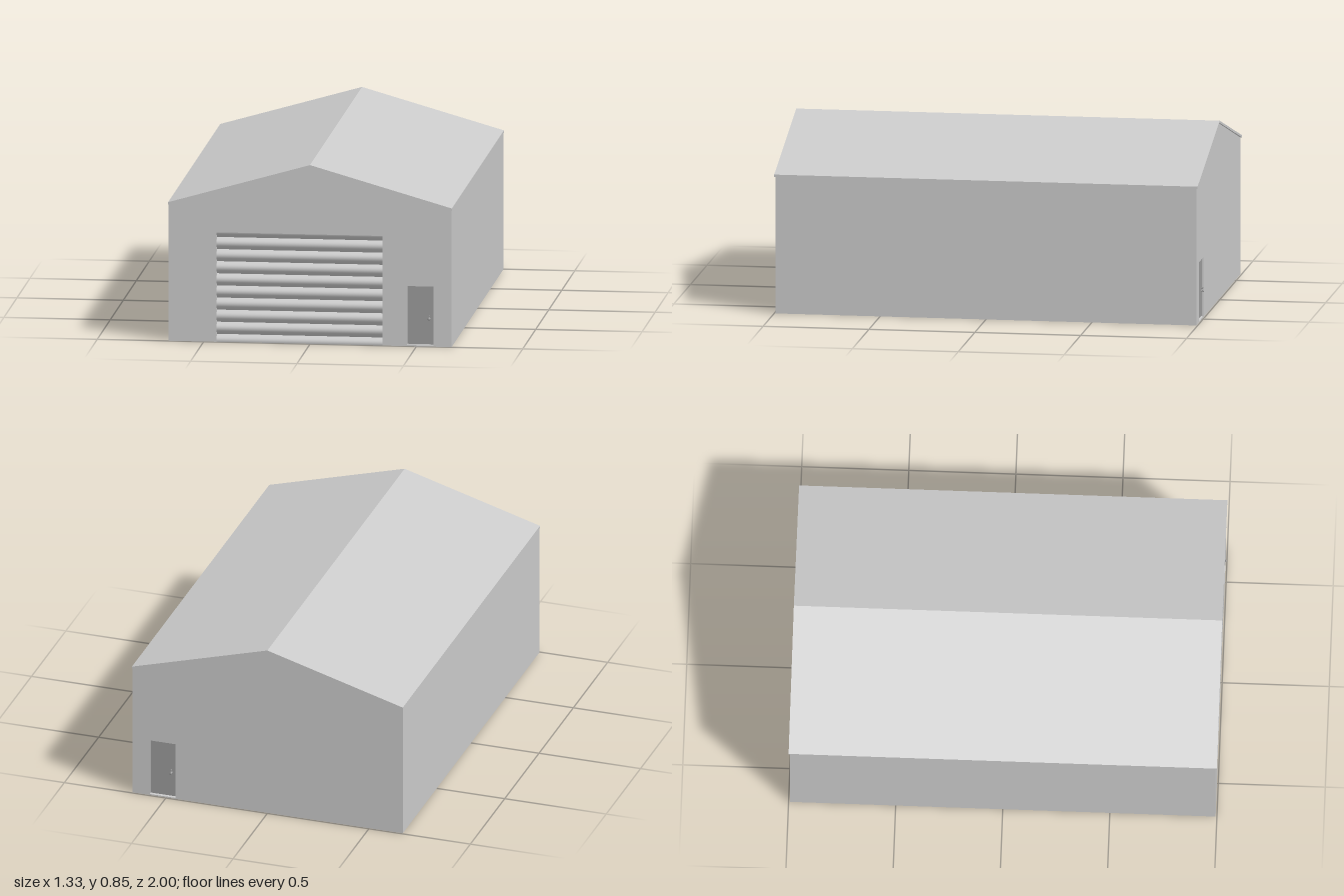
import * as THREE from 'three';

const HALF_W = 0.665, EAVE = 0.648, RIDGE = 0.839;
const WALL_Z = 0.994, SKIN = 0.02;
const DOOR = { x0: 0.455, x1: 0.581, y0: 0.005, y1: 0.285 };
const SHUTTER = { x0: -0.44, x1: 0.34, top: 0.52, pitch: 0.0575, joint: 0.035 };

const grey = new THREE.MeshStandardMaterial({ color: 0xcccccc });
const doorGrey = new THREE.MeshStandardMaterial({ color: 0x9c9c9c });
const shutterGrey = new THREE.MeshStandardMaterial({ color: 0xcccccc, side: THREE.DoubleSide });

function add(parent, name, geometry, material = grey) {
  const mesh = new THREE.Mesh(geometry, material);
  mesh.name = name;
  parent.add(mesh);
  return mesh;
}

function polygon(points) {
  return new THREE.Shape(points.map(([x, y]) => new THREE.Vector2(x, y)));
}

function extrude(shape, z0, z1) {
  const g = new THREE.ExtrudeGeometry(shape, { depth: z1 - z0, bevelEnabled: false });
  return g.translate(0, 0, z0);
}

// Gable outline, optionally notched at the floor for the shutter
function gable(notched) {
  const pts = [[-HALF_W, 0]];
  if (notched) {
    const { x0, x1, top } = SHUTTER;
    pts.push([x0, 0], [x0, top], [x1, top], [x1, 0]);
  }
  pts.push([HALF_W, 0], [HALF_W, EAVE], [0, RIDGE], [-HALF_W, EAVE]);
  return polygon(pts);
}

function withDoorway(shape) {
  const { x0, x1, y0, y1 } = DOOR;
  shape.holes.push(new THREE.Path([[x0, y0], [x0, y1], [x1, y1], [x1, y0]]
    .map(([x, y]) => new THREE.Vector2(x, y))));
  return shape;
}

// Personnel door, centred on x = 0 and facing +z with its face at z = 0
function makeDoor(name) {
  const door = new THREE.Group();
  door.name = name;
  const w = DOOR.x1 - DOOR.x0 - 0.004, h = DOOR.y1 - DOOR.y0 - 0.006;
  const cy = (DOOR.y0 + DOOR.y1) / 2 + 0.002;
  add(door, 'doorPanel', new THREE.BoxGeometry(w, h, 0.01).translate(0, cy, -0.005), doorGrey);
  // Turned knob with a small lock above it
  const profile = [[0.007, 0], [0.007, 0.002], [0.003, 0.003], [0.003, 0.007],
    [0.006, 0.009], [0.006, 0.011], [0.004, 0.013], [0, 0.013]].map(([r, y]) => new THREE.Vector2(r, y));
  add(door, 'doorKnob', new THREE.LatheGeometry(profile, 16).rotateX(Math.PI / 2), doorGrey)
    .position.set(0.041, 0.13, 0);
  add(door, 'doorLock', new THREE.CylinderGeometry(0.003, 0.003, 0.01, 12).rotateX(Math.PI / 2), doorGrey)
    .position.set(0.041, 0.145, 0.005);
  return door;
}

// Roller shutter: each slat is a smooth outward arc meeting the next at a crease
function makeShutter() {
  const group = new THREE.Group();
  group.name = 'rollerShutter';
  const { x0, x1, top, pitch, joint } = SHUTTER;
  const depth = 0.016, steps = 10;
  for (let bottom = joint - pitch; bottom < top; bottom += pitch) {
    const from = Math.max(0, bottom), to = Math.min(top, bottom + pitch);
    const slat = new THREE.PlaneGeometry(x1 - x0, to - from, 1, steps);
    slat.translate((x0 + x1) / 2, (from + to) / 2, 0);
    const p = slat.attributes.position;
    for (let i = 0; i < p.count; i++) {
      const t = (p.getY(i) - bottom) / pitch;
      p.setZ(i, WALL_Z - 0.001 - depth * (1 - Math.sin(Math.PI * t)));
    }
    slat.computeVertexNormals();
    add(group, 'shutterSlat', slat, shutterGrey);
  }
  return group;
}

export function createModel() {
  const model = new THREE.Group();
  model.name = 'warehouse';

  // Main hall and the two gable walls with their openings
  const inner = WALL_Z - SKIN;
  add(model, 'hall', extrude(gable(false), -inner, inner));
  add(model, 'frontWall', extrude(withDoorway(gable(true)), inner, WALL_Z));
  add(model, 'backWall', extrude(withDoorway(gable(false)), -WALL_Z, -inner));

  // Thin pitched roof, slightly oversailing the gables
  const t = 0.011, e = 0.667;
  add(model, 'roof', extrude(polygon([
    [-e, EAVE], [0, RIDGE], [e, EAVE], [e, EAVE + t], [0, RIDGE + t], [-e, EAVE + t],
  ]), -1, 1));

  model.add(makeShutter());

  // Matching doors at both ends
  const doorX = (DOOR.x0 + DOOR.x1) / 2, doorZ = WALL_Z - 0.007;
  const front = makeDoor('frontDoor');
  front.position.set(doorX, 0, doorZ);
  const back = makeDoor('backDoor');
  back.position.set(doorX, 0, -doorZ);
  back.rotation.y = Math.PI;
  model.add(front, back);

  return model;
}
